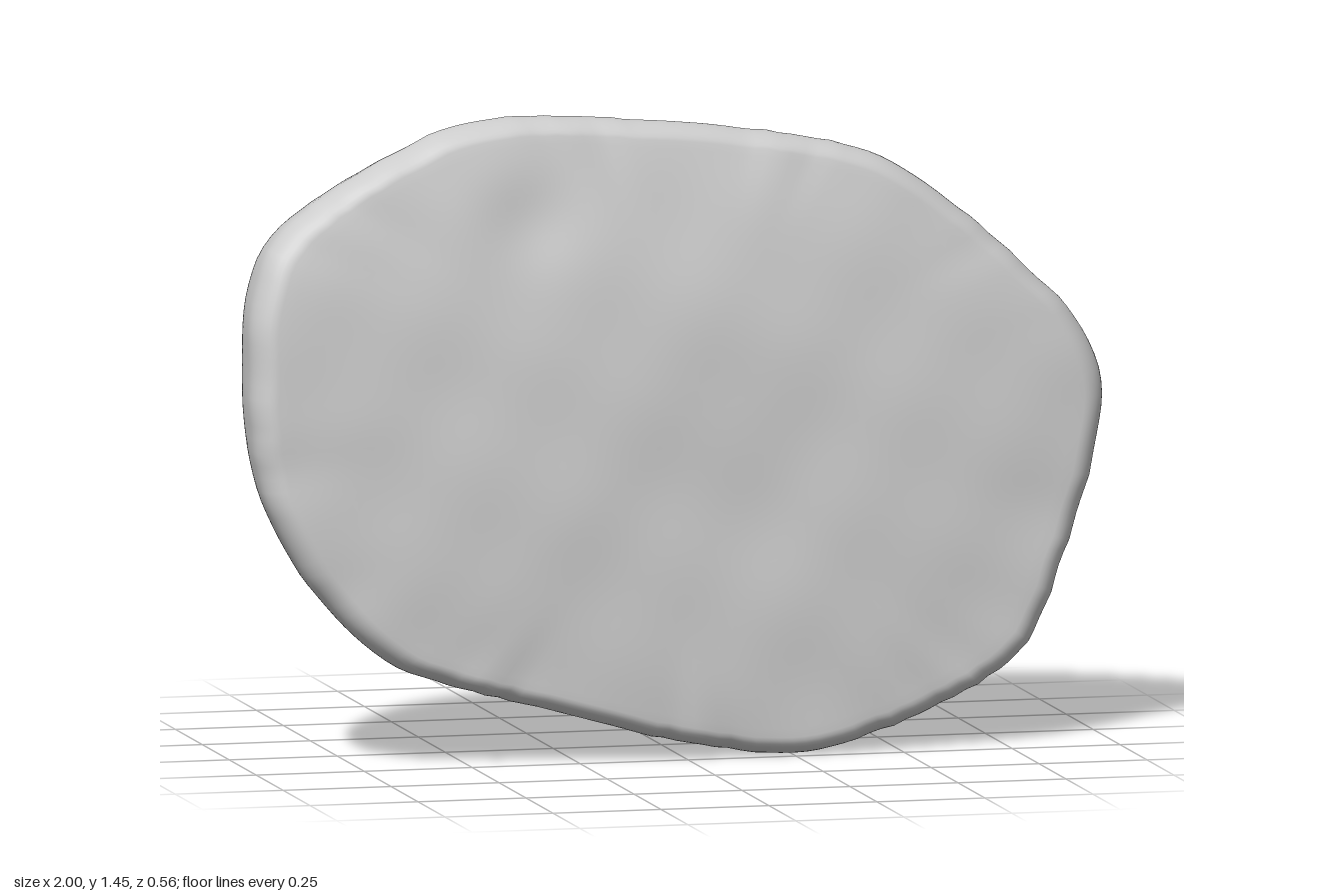
import * as THREE from 'three';

const COLS = 180, FACE = 36, RIM = 8, BACK = 60;
const CX = 0, CY = 0.77, CZ = 0.14, BACK_Z = -0.285, DEPTH = CZ - BACK_Z;
const RIM_START = 0.945, RIM_DROP = 0.06;

// Outline of the cut face, counter-clockwise from the right-hand tip
const OUTLINE = [
  [1, 0.78], [0.975, 0.89], [0.93, 0.97], [0.85, 1.05], [0.7, 1.19], [0.5, 1.33],
  [0.3, 1.385], [0, 1.425], [-0.2, 1.445], [-0.38, 1.45], [-0.5, 1.435], [-0.62, 1.39],
  [-0.78, 1.31], [-0.93, 1.2], [-0.985, 1.08], [-1, 0.9], [-0.995, 0.75], [-0.97, 0.62],
  [-0.9, 0.47], [-0.8, 0.34], [-0.68, 0.235], [-0.58, 0.195], [-0.3, 0.115], [0, 0.035],
  [0.27, 0], [0.4, 0.025], [0.6, 0.095], [0.8, 0.215], [0.9, 0.42], [0.965, 0.6],
];

const bell = (dx, dy, dz, r) => Math.exp(-(dx * dx + dy * dy + dz * dz) / (r * r));

// Soft uneven surface of the cut
const ripple = (x, y) =>
  0.003 * Math.sin(7 * x + 1.3) * Math.sin(8 * y) +
  0.002 * Math.sin(15 * x + 4 * y) * Math.sin(17 * y - 5 * x) -
  0.015 * bell(x + 0.35, y - 1.22, 0, 0.1) - 0.01 * bell(x - 0.2, y - 0.6, 0, 0.2);

// Slightly domed cut plane, leaning back to the top and right
const faceZ = (x, y, rho) =>
  0.195 - 0.05 * x - 0.09 * (y - 0.75) - 0.12 * Math.max(0, y - 0.9) ** 2 +
  0.033 * (1 - rho * rho) + ripple(x, y);

// Small swellings and dents on the skin: position, radius, push
const LUMPS = [
  { at: [0.96, 0.62, -0.15], r: 0.13, push: [0.025, 0, -0.02] },
  { at: [0.97, 0.42, -0.06], r: 0.12, push: [-0.02, 0, 0.01] },
  { at: [-0.76, 1.22, 0], r: 0.04, push: [-0.01, 0.015, -0.01] },
  { at: [-0.86, 0.55, -0.1], r: 0.05, push: [-0.015, 0, -0.015] },
];

// Returns the back skin along one outline direction: an ellipsoid with a slanted
// long axis, blended into the straight wall under the outline
function backProfile(ex, ey, rimZ) {
  const rise = rimZ - CZ, lean = Math.max(0, rise);
  const blunt = Math.max(0, Math.cos(Math.atan2(ey, ex) + 0.12)) ** 9;
  const p = 7 + 9 * blunt;
  const raw = Math.hypot(ex / (ex > 0 ? 1.38 : 1.23), (ey + 0.11 * ex) / 0.68);
  const side = raw / (1 + raw ** 24) ** (1 / 24);
  const ellipsoid = (cos, dz) => Math.hypot(side * cos, Math.min(0, dz - lean * cos) / DEPTH);
  const wall = Math.max(0, 1 - ellipsoid(1, rise) ** p);
  return (a) => {
    const cos = Math.cos(a), dz = rise * cos - DEPTH * Math.sin(a);
    const t = (wall * cos ** p + ellipsoid(cos, dz) ** p) ** (-1 / p);
    return [t * cos, CZ + t * dz];
  };
}

function createBody() {
  const curve = new THREE.CatmullRomCurve3(
    OUTLINE.map(([x, y]) => new THREE.Vector3(x, y, 0)), true);
  const edge = curve.getSpacedPoints(COLS).slice(0, COLS).map(({ x, y }) => {
    const ex = x - CX, ey = y - CY, len = Math.hypot(ex, ey);
    return {
      x, y, ex, ey, c: ex / len, s: ey / len,
      back: backProfile(ex, ey, faceZ(x, y, 1) - RIM_DROP),
    };
  });
  const pos = [CX, CY, faceZ(CX, CY, 0)];
  const index = [];
  const last = FACE + RIM + BACK - 1;

  for (let i = 1; i <= last; i++) {
    // fine waviness concentrated at the rim
    const wave = 0.005 * Math.exp(-(((i - FACE - RIM / 2) / 8) ** 2));
    for (const e of edge) {
      let rho, z;
      if (i <= FACE) {
        rho = RIM_START * i / FACE;
      } else if (i <= FACE + RIM) {
        rho = RIM_START + (1 - RIM_START) * Math.sin((i - FACE) / RIM * Math.PI / 2);
      } else {
        [rho, z] = e.back((i - FACE - RIM) / BACK * Math.PI / 2);
      }
      let x = CX + e.ex * rho, y = CY + e.ey * rho;
      if (i <= FACE + RIM) {
        const a = Math.max(0, i - FACE) / RIM * Math.PI / 2;
        z = faceZ(x, y, rho) - RIM_DROP * (1 - Math.cos(a));
      } else {
        for (const { at, r, push } of LUMPS) {
          const w = bell(x - at[0], y - at[1], z - at[2], r);
          x += push[0] * w; y += push[1] * w; z += push[2] * w;
        }
      }
      const k = wave * Math.sin(27 * e.x + 19 * e.y + 2 * Math.sin(11 * e.x - 7 * e.y));
      pos.push(x - e.c * Math.abs(k), y - e.s * Math.abs(k), z + k * 0.5);
    }
  }
  pos.push(CX, CY, BACK_Z);

  // Stitch the centre fans and the rings between them
  const id = (i, j) => 1 + (i - 1) * COLS + (j % COLS);
  const end = 1 + last * COLS;
  for (let j = 0; j < COLS; j++) {
    index.push(0, id(1, j), id(1, j + 1));
    for (let i = 1; i < last; i++) {
      const a = id(i, j), b = id(i + 1, j), c = id(i + 1, j + 1), d = id(i, j + 1);
      index.push(a, b, c, a, c, d);
    }
    index.push(id(last, j), end, id(last, j + 1));
  }

  const geo = new THREE.BufferGeometry();
  geo.setAttribute('position', new THREE.Float32BufferAttribute(pos, 3));
  geo.setIndex(index);
  geo.computeVertexNormals();
  return geo;
}

export function createModel() {
  const group = new THREE.Group();
  group.name = 'halvedTuber';
  const body = new THREE.Mesh(createBody(), new THREE.MeshStandardMaterial({ color: 0xcccccc }));
  body.name = 'halfBody';
  group.add(body);
  return group;
}
